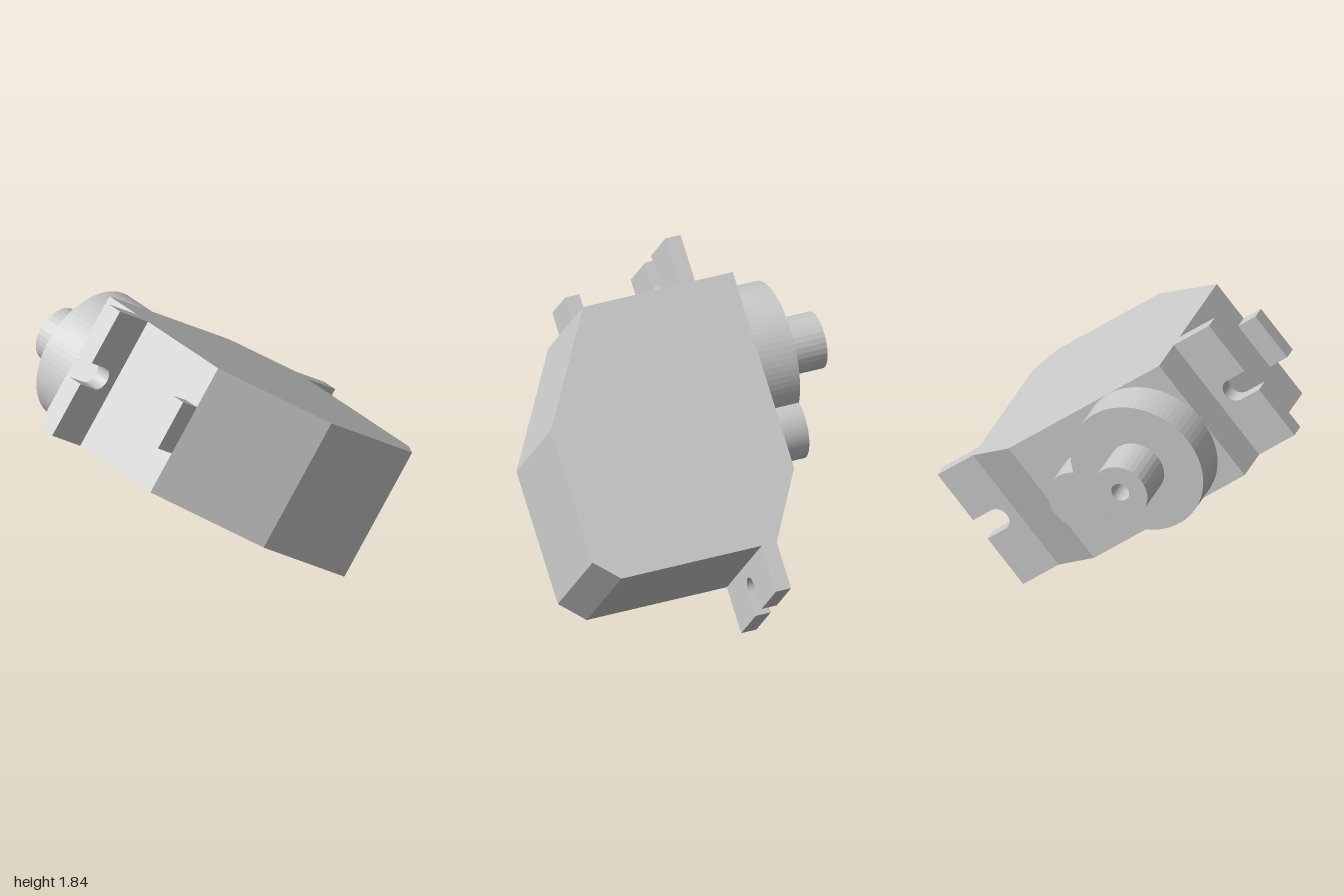
import * as THREE from 'three';

const material = new THREE.MeshStandardMaterial({ color: 0xcccccc, flatShading: true });

// Local frame: x = length, y = output shaft, z = width
const HALF_LENGTH = 0.731, HALF_WIDTH = 0.371;
const EAR_END = 0.988, EAR_TOP = 0.295, EAR_THICK = 0.085;
const SLOT_X = 0.858, SLOT_R = 0.0625;
const SHAFT_X = -0.362;

function part(parent, name, geometry) {
  const mesh = new THREE.Mesh(geometry, material);
  mesh.name = name;
  parent.add(mesh);
  return mesh;
}

// Extrude a shape drawn in x/z so that it rises from y = bottom
function slab(shape, bottom, height) {
  const g = new THREE.ExtrudeGeometry(shape, { depth: height, bevelEnabled: false, curveSegments: 32 });
  return g.rotateX(-Math.PI / 2).translate(0, bottom, 0);
}

// Case: side profile extruded across the width
function caseGeometry() {
  const profile = [
    [-HALF_LENGTH, 0.508], [-HALF_LENGTH, -0.335], [-0.129, -0.705], [0.612, -0.705],
    [HALF_LENGTH, -0.58], [HALF_LENGTH, EAR_TOP], [0.366, 0.508],
  ].map(([x, y]) => new THREE.Vector2(x, y));
  const g = new THREE.ExtrudeGeometry(new THREE.Shape(profile), { depth: 2 * HALF_WIDTH, bevelEnabled: false });
  return g.translate(0, 0, -HALF_WIDTH);
}

// Mounting ear with an open, round-ended slot
function earGeometry() {
  const s = new THREE.Shape();
  const inner = HALF_LENGTH - 0.01;
  s.moveTo(inner, -HALF_WIDTH);
  s.lineTo(EAR_END, -HALF_WIDTH);
  s.lineTo(EAR_END, -SLOT_R);
  s.lineTo(SLOT_X, -SLOT_R);
  s.absarc(SLOT_X, 0, SLOT_R, -Math.PI / 2, Math.PI / 2, true);
  s.lineTo(EAR_END, SLOT_R);
  s.lineTo(EAR_END, HALF_WIDTH);
  s.lineTo(inner, HALF_WIDTH);
  s.closePath();
  return slab(s, EAR_TOP - EAR_THICK, EAR_THICK);
}

// Gear housing: a large round boss merged with a small one
function housingGeometry() {
  const R = 0.37, r = 0.17, d = 0.427;
  const x = (d * d + R * R - r * r) / (2 * d);
  const y = Math.sqrt(R * R - x * x);
  const big = Math.atan2(y, x), small = Math.atan2(y, x - d);
  const s = new THREE.Shape();
  s.absarc(SHAFT_X, 0, R, big, 2 * Math.PI - big, false);
  s.absarc(SHAFT_X + d, 0, r, -small, small, false);
  return slab(s, 0.49, 0.227);
}

// Output shaft with a blind screw hole
function shaftGeometry() {
  const points = [[0.152, 0.7], [0.152, 0.962], [0.05, 0.962], [0.05, 0.78], [0, 0.78]]
    .map(([x, y]) => new THREE.Vector2(x, y));
  return new THREE.LatheGeometry(points, 32).translate(SHAFT_X, 0, 0);
}

export function createModel() {
  const model = new THREE.Group();
  model.name = 'servoMotor';

  const servo = new THREE.Group();
  servo.name = 'tiltedServo';
  model.add(servo);

  part(servo, 'case', caseGeometry());
  part(servo, 'rightEar', earGeometry());
  part(servo, 'leftEar', earGeometry().rotateY(Math.PI));
  part(servo, 'gearHousing', housingGeometry());
  part(servo, 'outputShaft', shaftGeometry());

  // Cable exit tab, flush with the lower edge of the end wall
  part(servo, 'cableTab', new THREE.BoxGeometry(0.146, 0.08, 0.276))
    .position.set(-0.784, -0.295, 0);

  // Pose: turned 30 degrees about the vertical, rolled 40 degrees about the shaft
  const yaw = Math.PI / 6, roll = (40 * Math.PI) / 180;
  const shaft = new THREE.Vector3(-Math.sin(yaw), 0, -Math.cos(yaw));
  const side = new THREE.Vector3(Math.cos(yaw), 0, -Math.sin(yaw));
  const length = side.clone().multiplyScalar(Math.cos(roll)).setY(-Math.sin(roll));
  const width = side.clone().multiplyScalar(Math.sin(roll)).setY(Math.cos(roll));
  servo.quaternion.setFromRotationMatrix(new THREE.Matrix4().makeBasis(length, shaft, width));
  servo.position.set(0.01, 0.92, -0.005);
  return model;
}
